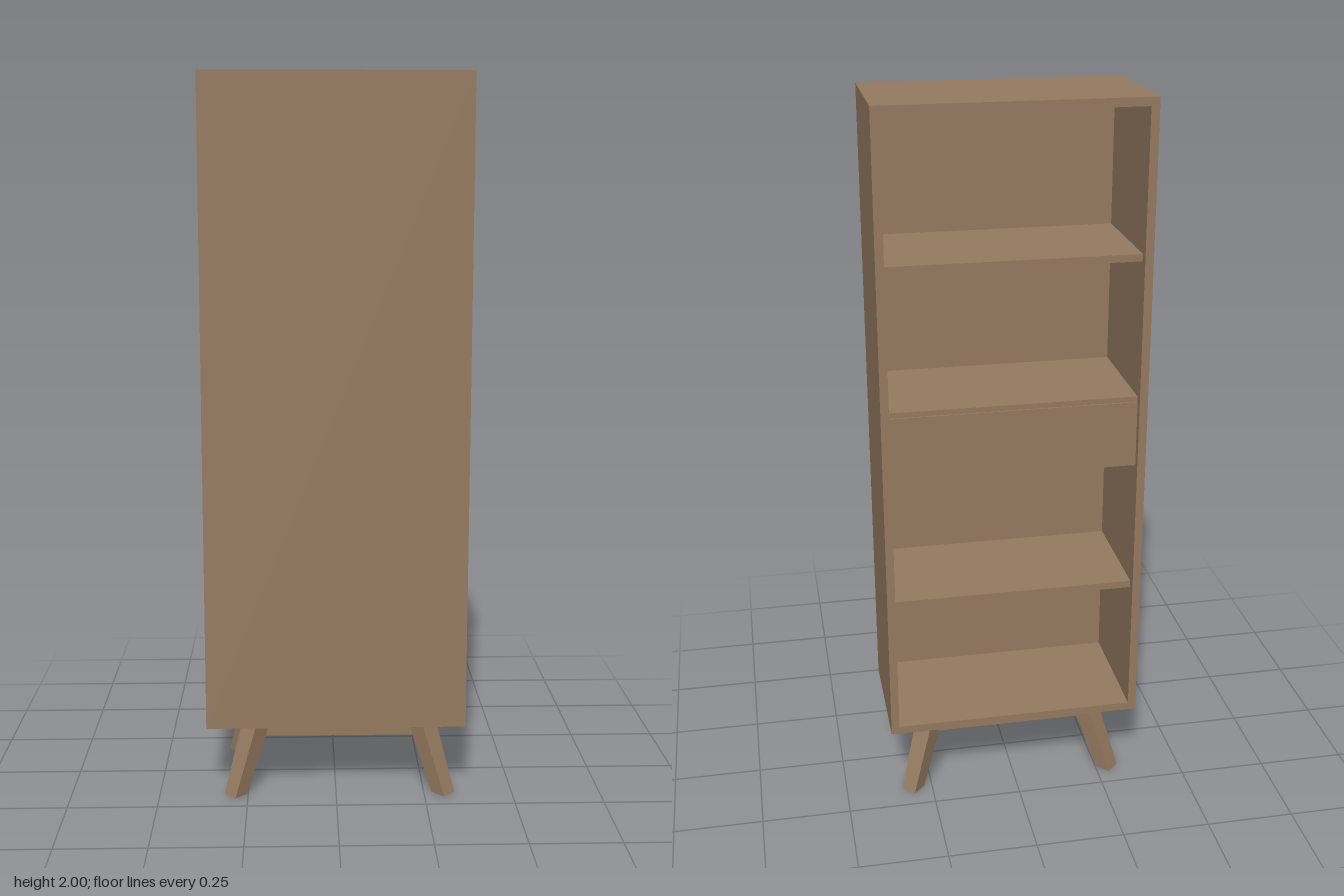
import * as THREE from 'three';

export function createModel() {
  const model = new THREE.Group();
  const wood = new THREE.MeshStandardMaterial({ color: 0x957a60 });
  wood.name = 'walnut wood';

  const add = (name, geometry, parent = model) => {
    const mesh = new THREE.Mesh(geometry, wood);
    mesh.name = name;
    parent.add(mesh);
    return mesh;
  };

  // Box given by its lower and upper limits on each axis
  const board = (name, [x0, x1], [y0, y1], [z0, z1], parent) =>
    add(name, new THREE.BoxGeometry(x1 - x0, y1 - y0, z1 - z0), parent)
      .position.set((x0 + x1) / 2, (y0 + y1) / 2, (z0 + z1) / 2);

  // Rectangular ring of boards, extruded along z
  const ring = (name, w, y0, y1, t, z0, z1) => {
    const rect = (C, hw, a, b) => new C([[-hw, a], [hw, a], [hw, b], [-hw, b]]
      .map(p => new THREE.Vector2(...p)));
    const shape = rect(THREE.Shape, w, y0, y1);
    shape.holes.push(rect(THREE.Path, w - t, y0 + t, y1 - t));
    add(name, new THREE.ExtrudeGeometry(shape, { depth: z1 - z0, bevelEnabled: false }))
      .position.z = z0;
  };

  // Cabinet: case, rim around the open side and closing panel
  const W = 0.365, T = 0.023, inner = W - T;
  ring('cabinetCase', W, 0.2, 2, T, -0.155, 0.174);
  ring('openingRim', W, 0.2, 2, T, -0.18, -0.155);
  board('closingPanel', [-W, W], [0.2, 2], [0.174, 0.18]);

  // Shelves, listed by the height of their top faces
  [0.62, 1.005, 1.19, 1.59].forEach((y, i) =>
    board('shelf' + (i + 1), [-inner, inner], [y - 0.02, y], [-0.155, 0.174]));

  // Drawer front between the two middle shelves
  board('drawerFront', [-inner, inner], [0.99, 1.175], [-0.16, -0.145]);

  // Base: rails and splayed legs, set slightly off the cabinet's middle
  const base = new THREE.Group();
  base.name = 'base';
  base.position.x = 0.01;
  model.add(base);
  for (const s of [-1, 1]) {
    const zs = [s * 0.115, s * 0.09].sort((a, b) => a - b);
    const xs = [s * 0.238, s * 0.213].sort((a, b) => a - b);
    board('longRail', [-0.238, 0.238], [0.152, 0.2], zs, base);
    board('shortRail', xs, [0.152, 0.2], [-0.09, 0.09], base);
  }

  // Tapered square legs set cornerwise, sheared outwards towards the floor
  for (const sx of [-1, 1]) for (const sz of [-1, 1]) {
    const leg = new THREE.CylinderGeometry(0.04, 0.032, 0.2, 4).toNonIndexed();
    const p = leg.attributes.position;
    for (let i = 0; i < p.count; i++) {
      const down = 0.5 - p.getY(i) / 0.2;
      p.setX(i, p.getX(i) + sx * (0.235 + 0.06 * down));
      p.setZ(i, p.getZ(i) + sz * (0.11 + 0.058 * down));
    }
    leg.translate(0, 0.1, 0);
    leg.computeVertexNormals();
    add('leg', leg, base);
  }
  return model;
}
